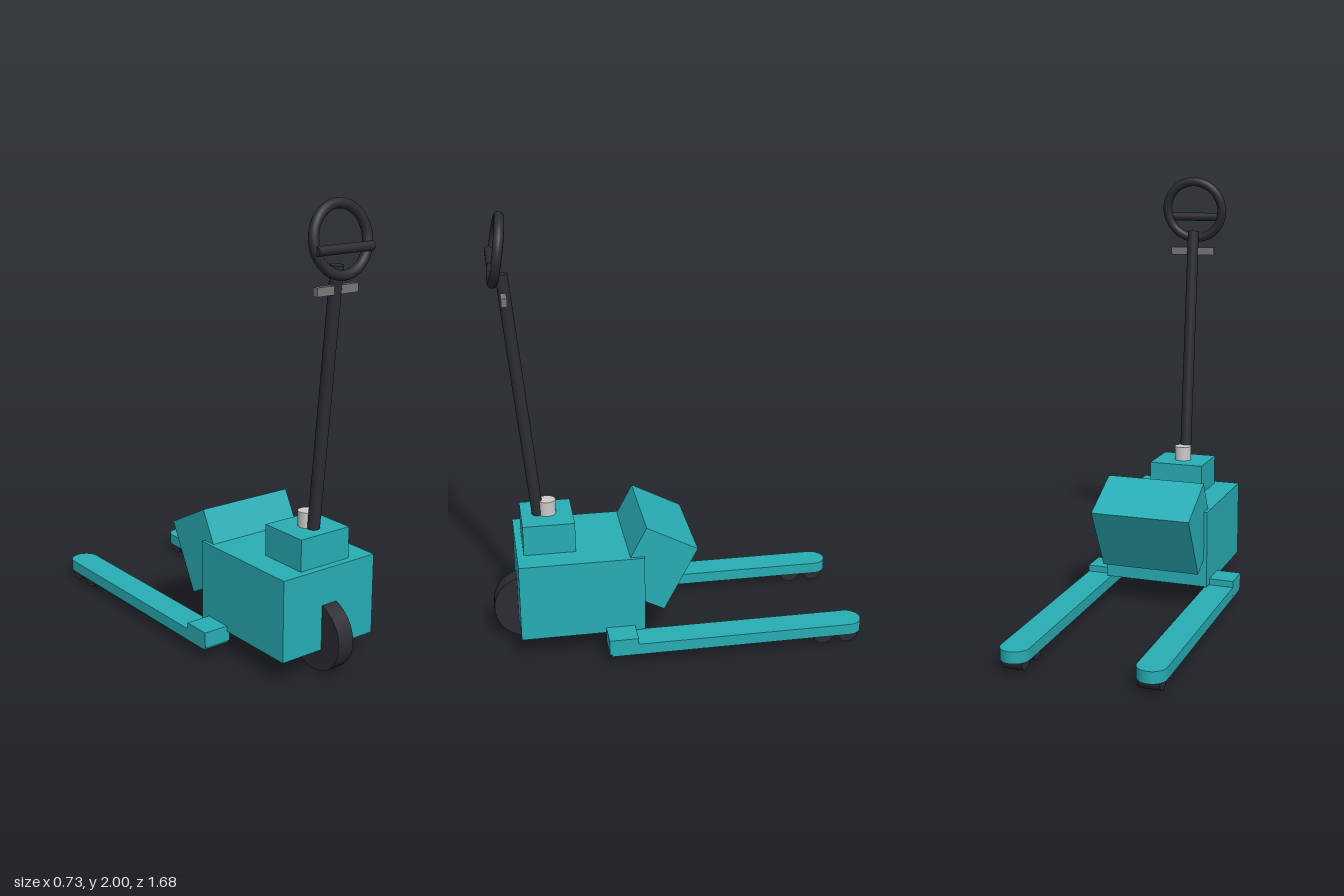
import * as THREE from 'three';

const paint = (color) => new THREE.MeshStandardMaterial({ color });

export function createModel() {
  const truck = new THREE.Group();
  truck.name = 'palletTruck';
  const teal = paint(0x28adb5), black = paint(0x2d2c33), grey = paint(0x777777), silver = paint(0xcccccc);

  const add = (name, geometry, material, x, y, z, parent = truck) => {
    const mesh = new THREE.Mesh(geometry, material);
    mesh.name = name;
    mesh.position.set(x, y, z);
    parent.add(mesh);
    return mesh;
  };
  const box = (w, h, d) => new THREE.BoxGeometry(w, h, d);
  // Cylinder lying along x
  const axle = (r, w, sides = 32) => new THREE.CylinderGeometry(r, r, w, sides).rotateZ(Math.PI / 2);

  // Drive unit
  add('body', box(0.5, 0.365, 0.565), teal, 0, 0.288, 0.448);
  add('topHousing', box(0.264, 0.15, 0.235), teal, 0, 0.537, 0.581);
  add('tiltedBatteryBox', box(0.47, 0.333, 0.264), teal, 0, 0.403, 0.115).rotation.x = -0.484;
  add('driveWheel', axle(0.158, 0.08, 40), black, 0, 0.158, 0.683);
  add('pivotPost', new THREE.CylinderGeometry(0.04, 0.04, 0.1, 24), silver, 0, 0.63, 0.578);

  // Fork outline with a rounded tip, extruded to its thickness
  const half = 0.065, front = 0.335, tip = -0.775;
  const outline = new THREE.Shape();
  outline.moveTo(-half, -front);
  outline.lineTo(half, -front);
  outline.lineTo(half, -tip);
  outline.absarc(0, -tip, half, 0, Math.PI, false);
  outline.closePath();
  const forkGeometry = new THREE.ExtrudeGeometry(outline, { depth: 0.053, bevelEnabled: false, curveSegments: 16 });
  forkGeometry.rotateX(-Math.PI / 2);

  // Forks with mounting blocks and tandem rollers
  for (const side of [1, -1]) {
    const fork = new THREE.Group();
    fork.name = side > 0 ? 'leftFork' : 'rightFork';
    fork.position.x = side * 0.301;
    truck.add(fork);
    add('forkArm', forkGeometry, teal, 0, 0.047, 0, fork);
    add('forkMount', box(0.132, 0.072, 0.132), teal, 0, 0.094, 0.28, fork);
    for (const z of [-0.655, -0.772]) add('forkRoller', axle(0.046, 0.092, 24), black, 0, 0.046, z, fork);
  }

  // Leaning steering column
  const foot = new THREE.Vector3(0, 0.56, 0.616), head = new THREE.Vector3(0, 1.74, 0.73);
  const lean = head.clone().sub(foot);
  const column = add('steeringColumn', new THREE.CylinderGeometry(0.027, 0.027, lean.length(), 24), black, 0, 0, 0);
  column.position.copy(foot).add(head).multiplyScalar(0.5);
  column.quaternion.setFromUnitVectors(THREE.Object3D.DEFAULT_UP, lean.normalize());
  add('controlBar', box(0.216, 0.037, 0.025), grey, 0, 1.642, 0.727);

  // Ring handle with grip bar
  add('handleRing', new THREE.TorusGeometry(0.14, 0.0215, 16, 48), black, 0, 1.842, 0.749).rotation.x = -0.16;
  add('gripBar', axle(0.02, 0.29, 20), black, 0, 1.808, 0.772);

  return truck;
}
